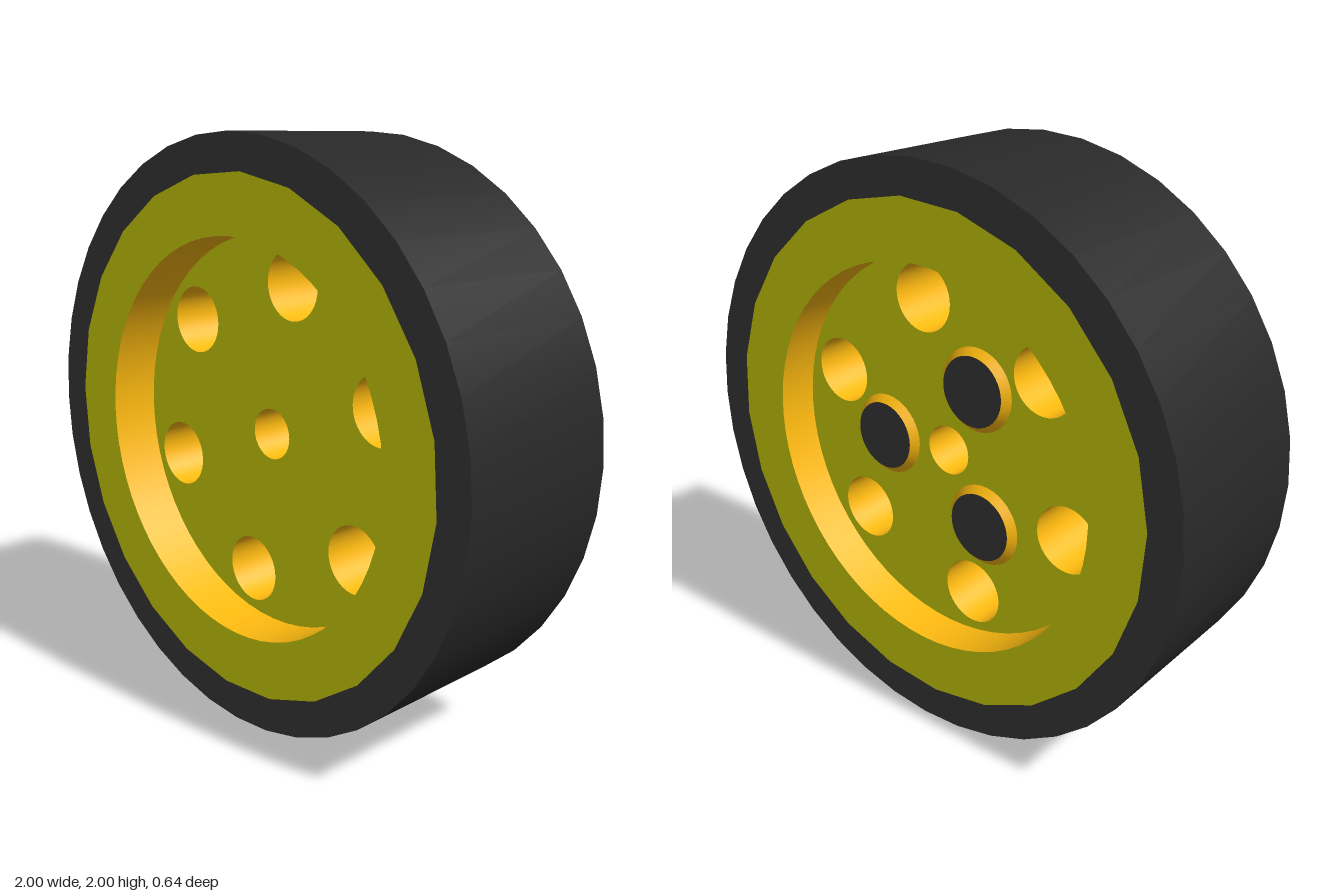
import * as THREE from 'three';
import { toCreasedNormals } from 'three/addons/utils/BufferGeometryUtils.js';

const paint = (color) => new THREE.MeshStandardMaterial({ color });
const yellow = paint(0xe6e60a);
const orange = paint(0xffbb10);
const sidewall = paint(0x404040);
const tread = paint(0x282828);

// Points of a regular polygon; many sides make a circle
function ring(radius, sides, x = 0, y = 0, start = 0) {
  return Array.from({ length: sides }, (_, i) => {
    const a = start + (i / sides) * Math.PI * 2;
    return new THREE.Vector2(x + radius * Math.cos(a), y + radius * Math.sin(a));
  });
}

// Flat outline with holes, extruded from z = back to z = front
function slab(name, outline, holes, back, front, faceMaterial, wallMaterial) {
  const shape = new THREE.Shape(outline);
  shape.holes = holes.map((points) => new THREE.Path(points));
  const geometry = new THREE.ExtrudeGeometry(shape, { depth: front - back, bevelEnabled: false });
  geometry.translate(0, 0, back);
  const mesh = new THREE.Mesh(toCreasedNormals(geometry, 0.4), [faceMaterial, wallMaterial]);
  mesh.name = name;
  return mesh;
}

export function createModel() {
  const wheel = new THREE.Group();
  wheel.name = 'wheel';
  const deg = Math.PI / 180;
  const halfWidth = 0.32;
  const plateBack = -0.175;
  const plateFront = 0.145;
  const seat = ring(0.88, 24, 0, 0, -3.5 * deg);
  const recess = ring(0.677, 64);

  // Tire with a faceted seat for the rim
  wheel.add(slab('tire', ring(1, 40), [seat], -halfWidth, halfWidth, sidewall, tread));

  // Rim flush with the tire
  wheel.add(slab('rim', seat, [recess], -halfWidth, halfWidth, yellow, orange));

  // Recessed plate with an axle hole and six round holes
  const holes = [ring(0.088, 32)];
  for (let i = 0; i < 6; i++) {
    const a = (18.6 + i * 60) * deg;
    holes.push(ring(0.118, 40, 0.527 * Math.cos(a), 0.527 * Math.sin(a)));
  }
  wheel.add(slab('hubPlate', recess, holes, plateBack, plateFront, yellow, orange));

  // Three low tapered studs with dark caps on the back of the plate
  const height = 0.025;
  const studGeometry = new THREE.CylinderGeometry(0.122, 0.146, height, 40);
  studGeometry.rotateX(-Math.PI / 2);
  for (let i = 0; i < 3; i++) {
    const a = (-3.5 + i * 120) * deg;
    const stud = new THREE.Mesh(studGeometry, [orange, sidewall, orange]);
    stud.name = 'backStud';
    stud.position.set(0.28 * Math.cos(a), 0.28 * Math.sin(a), plateBack - height / 2);
    wheel.add(stud);
  }

  wheel.position.y = 1;
  const model = new THREE.Group();
  model.name = 'wheelModel';
  model.add(wheel);
  return model;
}
